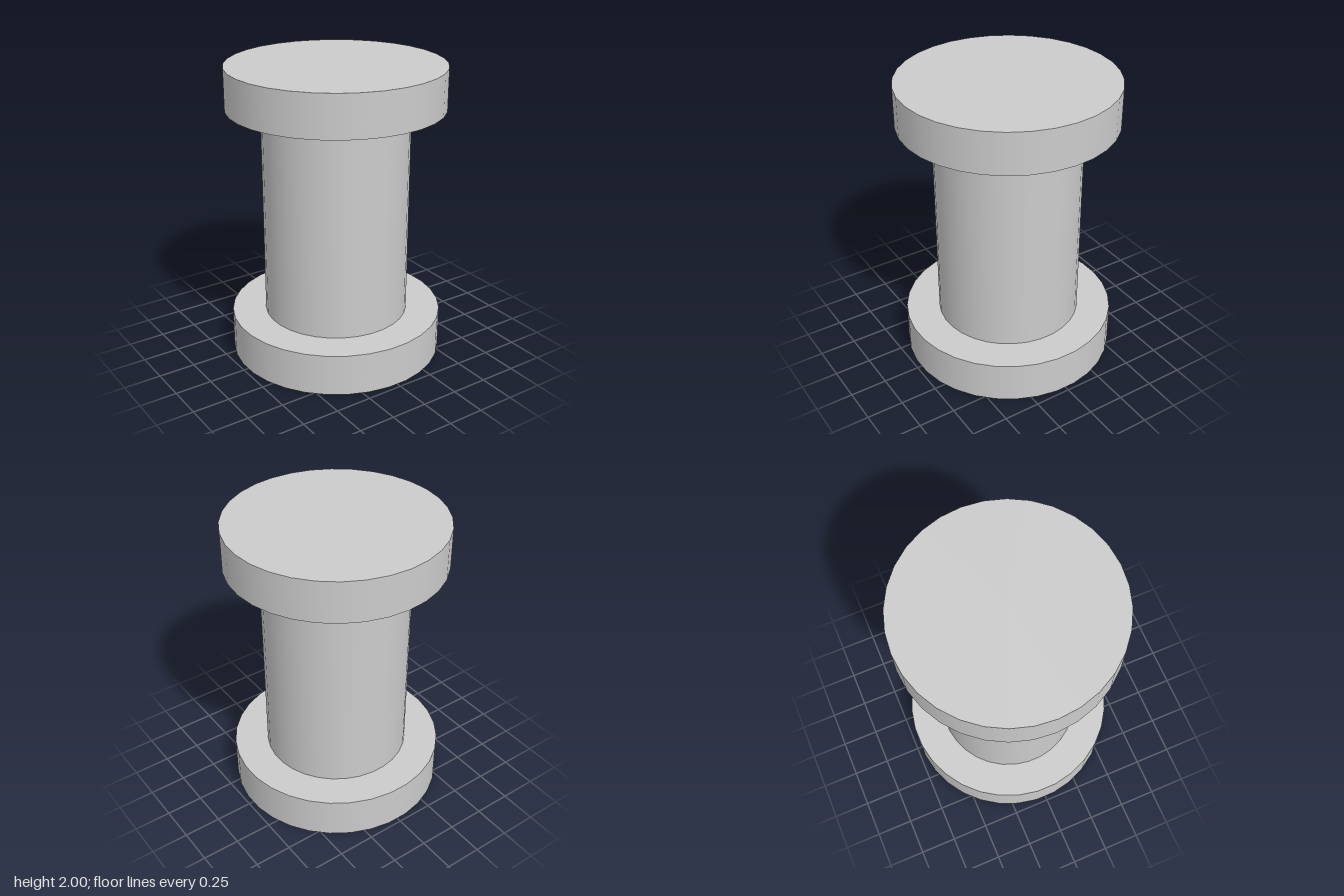
import * as THREE from 'three';

export function createModel() {
  const group = new THREE.Group();
  const material = new THREE.MeshStandardMaterial({ color: 0xcccccc });
  const sides = 32;
  const halfStep = Math.PI / sides;

  // Upright smooth-sided drum between two heights
  function addDrum(name, radius, bottom, top, turn, open = false) {
    const geometry = new THREE.CylinderGeometry(radius, radius, top - bottom, sides, 1, open);
    const mesh = new THREE.Mesh(geometry, material);
    mesh.name = name;
    mesh.position.y = (bottom + top) / 2;
    mesh.rotation.y = turn;
    group.add(mesh);
  }

  // Lower flange and shaft are turned half a facet from the upper flange
  addDrum('lowerFlange', 0.72, 0, 0.285, halfStep);
  addDrum('shaft', 0.49, 0.285, 1.72, halfStep, true);
  addDrum('upperFlange', 0.72, 1.72, 2, 0);

  return group;
}
